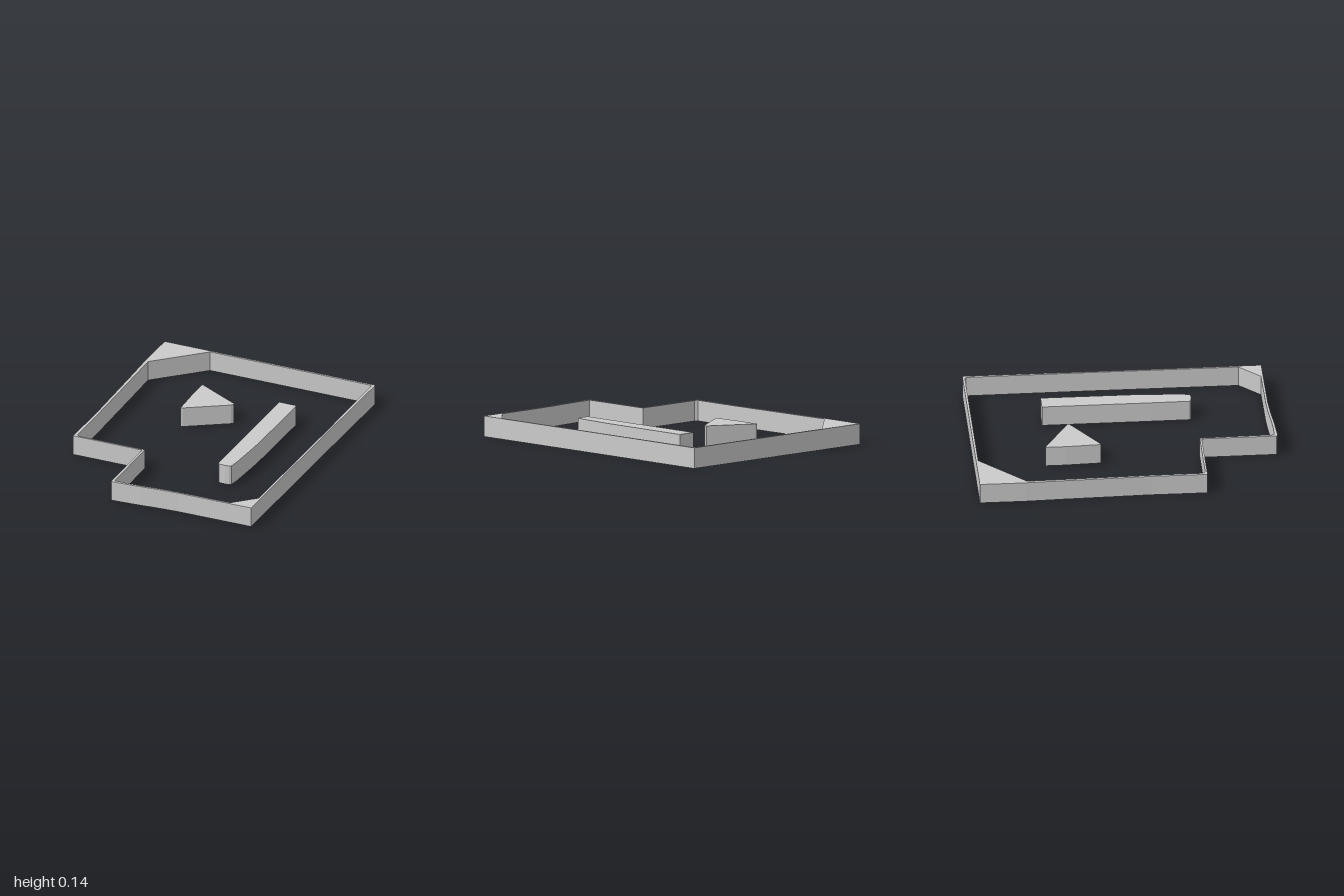
import * as THREE from 'three';

const HEIGHT = 0.137;
const material = new THREE.MeshStandardMaterial({ color: 0xcccccc, flatShading: true });

// Plan points are [x, z] pairs on the ground
const toPlan = (points) => points.map(([x, z]) => new THREE.Vector2(x, -z));

// Raise a plan outline, with an optional opening, into a vertical slab
function addSlab(group, name, outline, opening) {
  const shape = new THREE.Shape(toPlan(outline));
  // The opening winds against the outline so its walls face inward
  if (opening) shape.holes.push(new THREE.Path(toPlan(opening).reverse()));
  const geometry = new THREE.ExtrudeGeometry(shape, { depth: HEIGHT, bevelEnabled: false });
  geometry.rotateX(-Math.PI / 2);
  const mesh = new THREE.Mesh(geometry, material);
  mesh.name = name;
  group.add(mesh);
}

export function createModel() {
  const group = new THREE.Group();
  group.name = 'walledCourse';

  // Thin perimeter wall with a notch at the front and two filled corners
  addSlab(group, 'perimeterWall', [
    [-0.765, -1], [0.753, -1], [0.757, -0.99], [0.758, -0.2], [0.764, 0.967],
    [0.24, 0.97], [0.1, 0.977], [-0.02, 0.988], [-0.12, 0.995], [-0.228, 1], [-0.235, 0.992],
    [-0.238, 0.5], [-0.737, 0.5], [-0.737, 0.13], [-0.755, -0.45], [-0.765, -0.7],
  ], [
    [-0.43, -0.985], [0.73, -0.985], [0.738, -0.97], [0.745, -0.2], [0.748, 0.815],
    [0.607, 0.953], [0.24, 0.956], [0.1, 0.962], [-0.02, 0.973], [-0.12, 0.979], [-0.215, 0.978],
    [-0.224, 0.487], [-0.7, 0.487], [-0.717, 0.472], [-0.72, 0.13], [-0.735, -0.45], [-0.742, -0.687],
  ]);

  // Free-standing triangular block with blunted corners
  addSlab(group, 'triangularBlock', [
    [-0.279, -0.53], [-0.268, -0.528], [0.025, -0.369], [0.031, -0.355],
    [0.018, -0.34], [-0.253, -0.168], [-0.267, -0.164], [-0.279, -0.4],
  ]);

  // Free-standing long bar, tapering slightly toward the front
  addSlab(group, 'longBar', [
    [0.287, -0.512], [0.408, -0.512], [0.413, -0.502], [0.414, 0.08], [0.41, 0.2],
    [0.399, 0.4], [0.39, 0.465], [0.378, 0.472], [0.345, 0.475], [0.303, 0.471],
    [0.294, 0.457], [0.291, 0.2],
  ]);

  return group;
}
